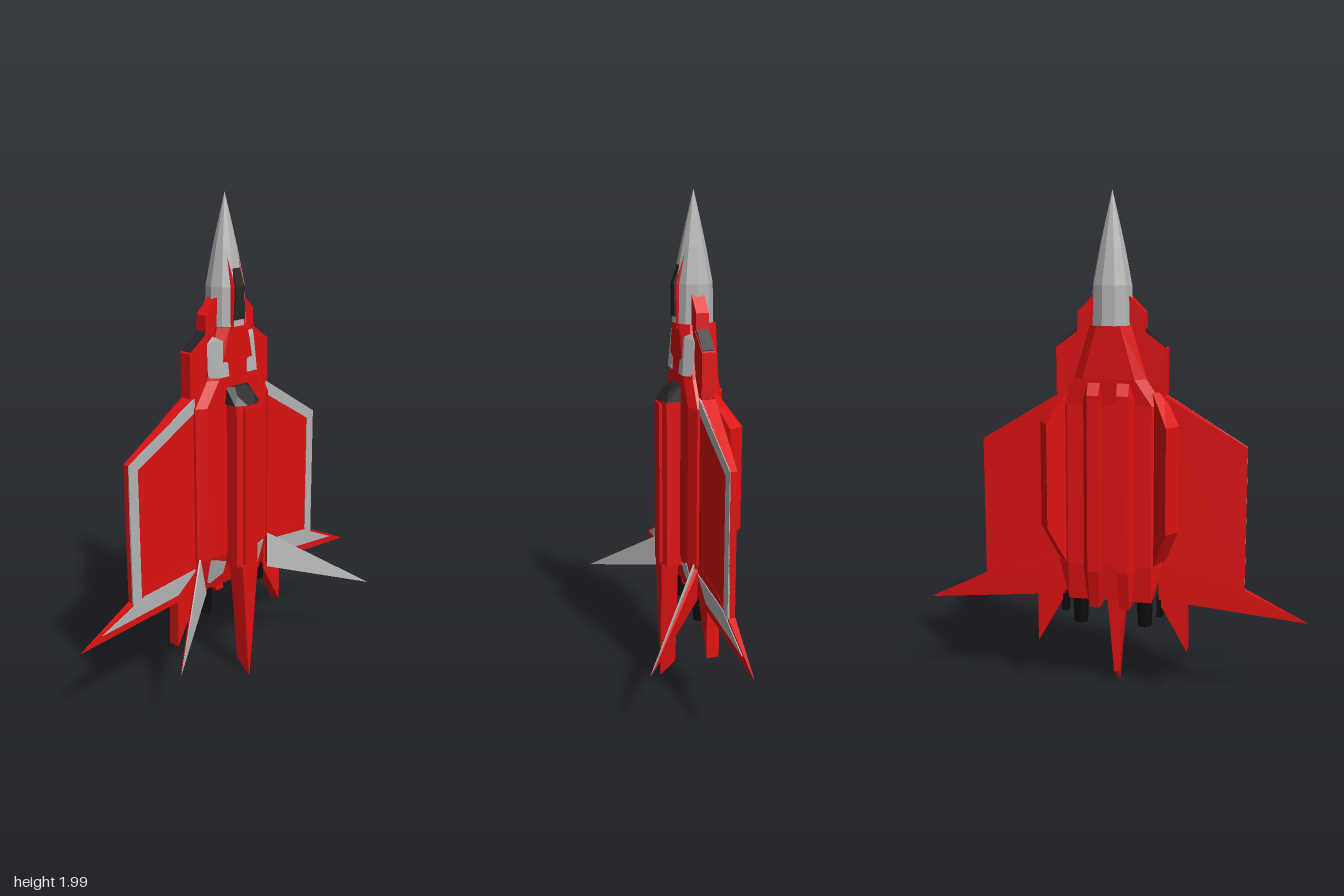
import * as THREE from 'three';
import { ConvexGeometry } from 'three/addons/geometries/ConvexGeometry.js';

const paint = (color) => new THREE.MeshStandardMaterial({ color, flatShading: true, side: THREE.DoubleSide });
const AXIS = -0.1; // x of the fuselage axis; dorsal side faces +x

export function createModel() {
  const model = new THREE.Group();
  const red = paint(0xdd1111), grey = paint(0xb4b4b4), dark = paint(0x262626), black = paint(0x0c0c0c);

  const add = (name, geometry, material) => {
    const mesh = new THREE.Mesh(geometry, material);
    mesh.name = name;
    model.add(mesh);
    return mesh;
  };
  // Faceted solid around a handful of [x, y, z] corners
  const solid = (name, pts, mat) => add(name, new ConvexGeometry(pts.map((p) => new THREE.Vector3(...p))), mat);
  // Same solid on the left and the right
  const pair = (name, pts, mat) => {
    solid(name + 'Left', pts, mat);
    solid(name + 'Right', pts.map(([x, y, z]) => [x, y, -z]), mat);
  };
  // Corners of a cross-section at height y, from [x, z] pairs, mirrored in z
  const ring = (y, pts) => pts.flatMap(([x, z]) => [[x, y, z], [x, y, -z]]);
  // Flat slab: outline of [y, z, halfThickness] about x = cx
  const slab = (outline, cx = AXIS) => outline.flatMap(([y, z, h]) => [[cx - h, y, z], [cx + h, y, z]]);

  // Nose cone
  const nose = [[0, 2], [0.025, 1.895], [0.05, 1.785], [0.076, 1.65], [0.08, 1.5]].map((p) => new THREE.Vector2(...p));
  add('noseCone', new THREE.LatheGeometry(nose, 10), grey).position.x = AXIS;

  // Fuselage
  const body = [[-0.035, 0.165], [-0.06, 0.205], [-0.14, 0.205], [-0.165, 0.165]];
  const shoulder = [[-0.035, 0.1], [-0.06, 0.14], [-0.14, 0.14], [-0.175, 0.1]];
  const neck = [[-0.03, 0.045], [-0.065, 0.08], [-0.135, 0.08], [-0.18, 0.045]];
  const tail = [[-0.07, 0.165], [-0.15, 0.165]];
  solid('neck', [...ring(1.5, neck), ...ring(1.3, shoulder)], red);
  solid('shoulders', [...ring(1.3, shoulder), ...ring(1.2, body)], red);
  solid('fuselage', [...ring(1.2, body), ...ring(0.57, body)], red);
  solid('tailSection', [...ring(0.57, body), ...ring(0.42, tail), ...ring(0.45, [[-0.07, 0.05]])], red);

  // Canopy with its frame
  solid('canopyFrame', [...ring(1.77, [[-0.06, 0.03]]), ...ring(1.65, [[-0.025, 0.03], [-0.06, 0.045]]),
    ...ring(1.48, [[-0.026, 0.035], [-0.06, 0.045]])], red);
  solid('canopy', [...ring(1.755, [[-0.052, 0.018], [-0.07, 0.02]]), ...ring(1.65, [[-0.018, 0.022], [-0.06, 0.032]]),
    ...ring(1.525, [[-0.02, 0.028], [-0.06, 0.032]])], dark);

  // Stepped intakes beside the neck
  pair('upperIntake', slab([[1.62, 0.06, 0.025], [1.55, 0.13, 0.025], [1.28, 0.14, 0.025], [1.28, 0.06, 0.025]]), red);
  pair('outerIntake', slab([[1.485, 0.12, 0.027], [1.415, 0.215, 0.027], [1.24, 0.215, 0.027], [1.2, 0.12, 0.027]]), red);
  pair('intakeMouth', slab([[1.49, 0.132, 0.024], [1.422, 0.209, 0.024], [1.4, 0.2, 0.024], [1.45, 0.132, 0.024]]), dark);
  // Pale panels on the shoulders
  pair('shoulderPanel', [
    [-0.04, 1.44, 0.055], [-0.04, 1.46, 0.095], [-0.06, 1.47, 0.11], [-0.07, 1.44, 0.13], [-0.1, 1.44, 0.055],
    [-0.029, 1.31, 0.05], [-0.029, 1.31, 0.105], [-0.06, 1.31, 0.135], [-0.1, 1.31, 0.06]], grey);

  // Dorsal spine, its dark cap and the tail boom
  const spine = [[0.038, 0.022], [0.02, 0.06], [-0.05, 0.06]];
  solid('spine', [...ring(1.2, spine), ...ring(0.52, spine)], red);
  solid('spineRidge', [...ring(1.19, [[0.044, 0.035], [0.01, 0.035]]), ...ring(0.53, [[0.044, 0.035], [0.01, 0.035]])], red);
  solid('spineCap', [...ring(1.2, [[0.043, 0.022], [0.02, 0.068], [-0.04, 0.068]]),
    ...ring(1.265, [[-0.02, 0.03], [-0.04, 0.06]]), ...ring(1.235, [[0.01, 0.045]])], dark);
  solid('tailBoom', [...ring(0.52, [[0.038, 0.045], [-0.03, 0.05]]), ...ring(0.07, [[-0.03, 0.01]]),
    ...ring(0.01, [[0.032, 0.003]])], red);

  // Engine bulges along the belly
  pair('bellyBulge', [
    [-0.15, 1.33, 0.03], [-0.15, 1.33, 0.08],
    [-0.198, 1.24, 0.035], [-0.198, 1.24, 0.08], [-0.15, 1.22, 0.025], [-0.15, 1.22, 0.11],
    [-0.198, 0.55, 0.035], [-0.198, 0.55, 0.08], [-0.15, 0.55, 0.025], [-0.15, 0.55, 0.11],
    [-0.16, 0.39, 0.04], [-0.16, 0.39, 0.08], [-0.08, 0.39, 0.04], [-0.08, 0.39, 0.08]], red);

  // Flared belly fins
  pair('bellyFin', [
    [-0.15, 1.25, 0.165], [-0.11, 1.25, 0.2], [-0.15, 0.55, 0.165], [-0.11, 0.55, 0.2],
    [-0.23, 1.13, 0.23], [-0.17, 1.13, 0.27], [-0.23, 0.72, 0.23], [-0.17, 0.72, 0.27]], red);

  // Wings and tailplanes, thinning outwards
  pair('wing', slab([[1.24, 0.2, 0.03], [1.045, 0.522, 0.013], [0.47, 0.522, 0.013], [0.47, 0.2, 0.03]]), red);
  pair('tailplane', slab([[0.58, 0.19, 0.031], [0.535, 0.42, 0.02], [0.365, 0.77, 0.001], [0.43, 0.19, 0.031]]), red);

  // Grey trim: thin plates just above the dorsal surface, given as [y, z]
  const trim = (name, corners, height) => pair(name, corners.flatMap(([y, z]) => {
    const x = AXIS + height(z);
    return [[x - 0.004, y, z], [x + 0.003, y, z]];
  }), grey);
  const wingTop = (z) => 0.03 - (z - 0.2) * 0.053;
  trim('wingLeadingEdge', [[1.24, 0.2], [1.045, 0.522], [1.02, 0.48], [1.185, 0.2]], wingTop);
  trim('wingTipEdge', [[1.045, 0.522], [0.47, 0.522], [0.49, 0.48], [1.02, 0.48]], wingTop);
  trim('tailplanePanel', [[0.535, 0.2], [0.5, 0.47], [0.405, 0.67], [0.45, 0.3]], (z) => 0.032 - (z - 0.19) * 0.052);

  // Pale plates on the sloping tail deck
  pair('tailDeckPlate', [
    [-0.032, 0.565, 0.155], [-0.04, 0.53, 0.06], [-0.055, 0.475, 0.065], [-0.066, 0.44, 0.15],
    [-0.06, 0.565, 0.155], [-0.065, 0.53, 0.06], [-0.08, 0.475, 0.065], [-0.09, 0.44, 0.15]], grey);

  // Canted tail fins: pale inner skin over a red outer skin
  pair('tailFinInner', [
    [-0.05, 0.575, 0.195], [-0.055, 0.575, 0.2], [-0.035, 0.43, 0.18], [-0.05, 0.43, 0.195], [0.22, 0.31, 0.56]], grey);
  pair('tailFinOuter', [
    [-0.057, 0.56, 0.202], [-0.068, 0.55, 0.205], [-0.052, 0.425, 0.197], [-0.065, 0.425, 0.205], [0.212, 0.312, 0.555]], red);

  // Pointed strakes trailing below the tailplanes
  pair('strake', slab([[0.5, 0.2, 0.025], [0.46, 0.3, 0.025], [0.22, 0.303, 0.025], [0.4, 0.2, 0.025]]), red);

  // Exhaust nozzles and small side thrusters
  for (const side of [1, -1]) {
    const nozzle = add('nozzle', new THREE.CylinderGeometry(0.034, 0.028, 0.14, 10), black);
    nozzle.position.set(AXIS, 0.38, side * 0.13);
    const thruster = add('sideThruster', new THREE.BoxGeometry(0.04, 0.08, 0.024), black);
    thruster.position.set(AXIS, 0.395, side * 0.192);
  }
  return model;
}
